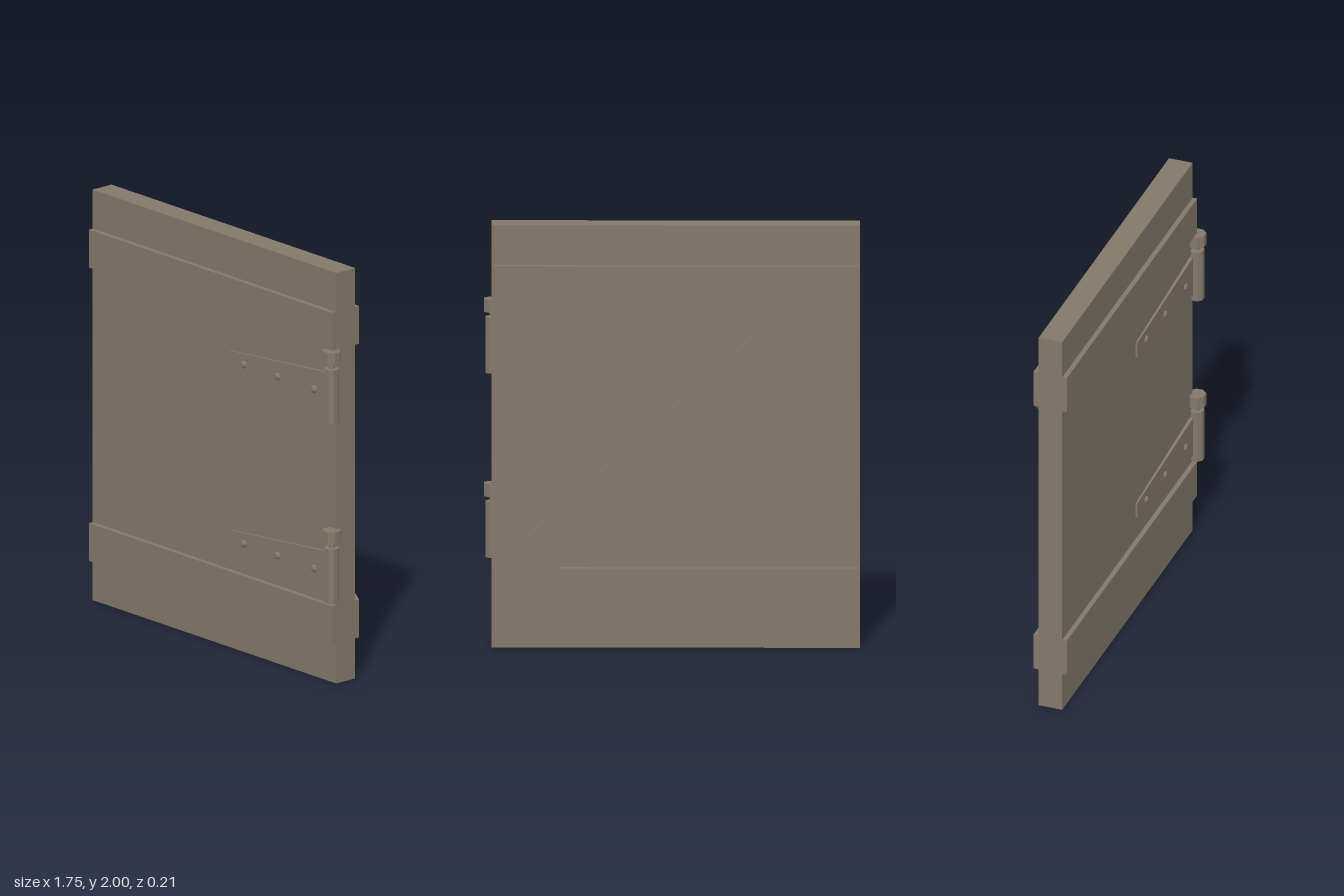
import * as THREE from 'three';

export function createModel() {
  const wood = new THREE.MeshStandardMaterial({ color: 0x84796a });
  wood.name = 'weathered brown';
  wood.flatShading = true;
  const model = new THREE.Group();
  model.name = 'shutterDoor';

  const add = (parent, name, geometry, x = 0, y = 0, z = 0) => {
    const mesh = new THREE.Mesh(geometry, wood);
    mesh.name = name;
    mesh.position.set(x, y, z);
    parent.add(mesh);
    return mesh;
  };
  const LEFT = -0.875, RIGHT = 0.837;
  const slab = (name, y0, y1, z0, z1) =>
    add(model, name, new THREE.BoxGeometry(RIGHT - LEFT, y1 - y0, z1 - z0),
      (LEFT + RIGHT) / 2, (y0 + y1) / 2, (z0 + z1) / 2);
  const plate = (points, depth) => new THREE.ExtrudeGeometry(
    new THREE.Shape(points.map(([x, y]) => new THREE.Vector2(x, y))), { depth, bevelEnabled: false });

  // Door panel with a pair of rails on each face
  slab('panel', 0, 2, -0.079, 0.038);
  for (const [name, y0, y1] of [['lower', 0.195, 0.38], ['upper', 1.625, 1.81]]) {
    slab(name + 'FrontRail', y0, y1, 0.038, 0.061);
    slab(name + 'BackRail', y0, y1, -0.104, -0.079);
  }

  // Diagonal brace between the back rails
  add(model, 'diagonalBrace',
    plate([[LEFT, 1.625], [0.52, 0.38], [RIGHT, 0.38], [-0.54, 1.625]], 0.025), 0, 0, -0.104);

  // Strap hinges: tapered strap, domed bolts, barrel, pin and cap
  const octagon = (halfWidth, height) => {
    const g = new THREE.CylinderGeometry(halfWidth / Math.cos(Math.PI / 8), halfWidth / Math.cos(Math.PI / 8), height, 8);
    return g.rotateY(Math.PI / 8);
  };
  for (const [name, y] of [['lowerHinge', 0.534], ['upperHinge', 1.407]]) {
    const hinge = new THREE.Group();
    hinge.name = name;
    hinge.position.y = y;
    model.add(hinge);

    const strap = new THREE.Group();
    strap.name = 'strap';
    strap.position.set(0.09, 0, 0.046);
    strap.rotation.y = -0.012;
    hinge.add(strap);
    add(strap, 'strapPlate', plate([[0, -0.04], [0.73, -0.103], [0.73, 0.103], [0, 0.04]], 0.02), 0, 0, -0.02);
    for (const x of [0.2, 0.44, 0.7]) {
      const bolt = add(strap, 'bolt',
        new THREE.SphereGeometry(0.019, 10, 4, 0, Math.PI * 2, 0, Math.PI / 2), x - 0.09, -0.002, 0);
      bolt.rotation.x = Math.PI / 2;
      bolt.scale.y = 0.65;
    }
    add(hinge, 'barrel', octagon(0.033, 0.265), 0.832, 0, 0.061);
    add(hinge, 'pin', octagon(0.014, 0.06), 0.832, 0.147, 0.061);
    add(hinge, 'cap', octagon(0.041, 0.061), 0.832, 0.188, 0.061);
  }
  return model;
}
